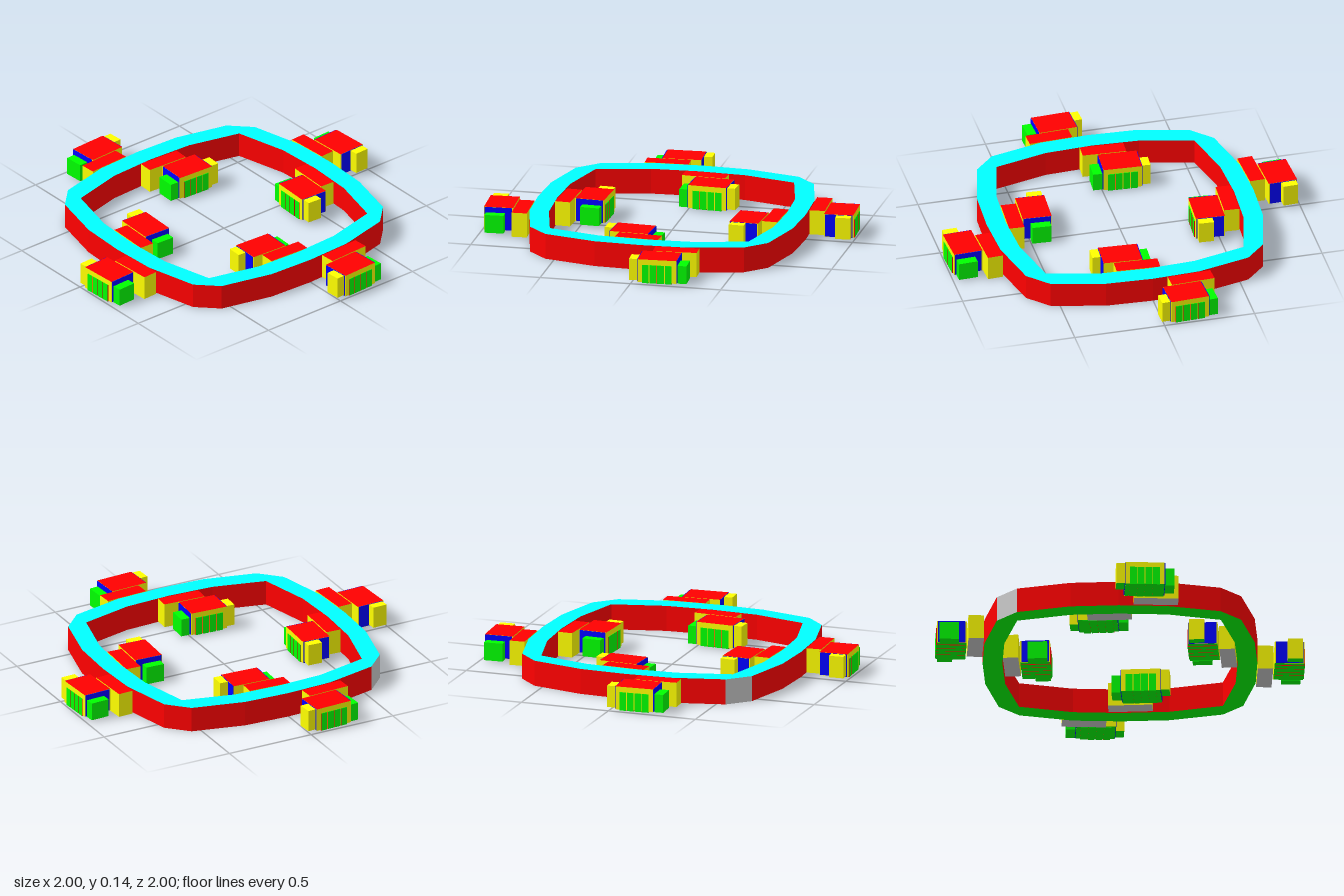
import * as THREE from 'three';

const mat = (color) => new THREE.MeshStandardMaterial({ color, flatShading: true });
const red = mat(0xff0000), green = mat(0x00ff00), cyan = mat(0x00ffff);
const yellow = mat(0xffff00), blue = mat(0x0000ff), grey = mat(0xcccccc);

const HEIGHT = 0.14;

// One quarter of a ring outline, repeated four times by quarter turns
function outline(quarter) {
  const pts = [];
  for (let k = 0; k < 4; k++) {
    for (const [px, pz] of quarter) {
      let x = px, z = pz;
      for (let i = 0; i < k; i++) [x, z] = [z, -x];
      pts.push(new THREE.Vector2(x, -z));
    }
  }
  return pts;
}

function makeRing() {
  const shape = new THREE.Shape(outline([[0, 0.742], [0.26, 0.73], [0.55, 0.66], [0.66, 0.55], [0.73, 0.26]]));
  shape.holes.push(new THREE.Path(outline([[0, 0.635], [0.26, 0.622], [0.55, 0.55], [0.622, 0.26]])));
  const geo = new THREE.ExtrudeGeometry(shape, { depth: HEIGHT, bevelEnabled: false });
  geo.rotateX(-Math.PI / 2);

  // Material per triangle: top cyan, bottom green, walls red, one corner grey
  geo.clearGroups();
  const p = geo.attributes.position;
  const tri = new THREE.Triangle(), n = new THREE.Vector3(), mid = new THREE.Vector3();
  for (let i = 0; i < p.count; i += 3) {
    tri.setFromAttributeAndIndices(p, i, i + 1, i + 2);
    tri.getNormal(n);
    tri.getMidpoint(mid);
    let m = 2;
    if (n.y > 0.5) m = 0;
    else if (n.y < -0.5) m = 1;
    else if (n.x < -0.6 && n.z > 0.6 && mid.x < -0.56) m = 3;
    geo.addGroup(i, 3, m);
  }
  const ring = new THREE.Mesh(geo, [cyan, green, red, grey]);
  ring.name = 'ring';
  return ring;
}

// A clamp unit: x runs along the ring wall, side * z points away from it
function makeUnit(side) {
  const unit = new THREE.Group();
  unit.name = side > 0 ? 'outerUnit' : 'innerUnit';
  const box = (name, [x0, x1], [y0, y1], [o0, o1], material) => {
    const mesh = new THREE.Mesh(new THREE.BoxGeometry(x1 - x0, y1 - y0, o1 - o0), material);
    mesh.position.set((x0 + x1) / 2, (y0 + y1) / 2, side * (o0 + o1) / 2);
    mesh.name = name;
    unit.add(mesh);
  };
  const faces = (sides, top, bottom) => [sides, sides, top, bottom, sides, sides];

  // Connector against the wall, then the main body
  box('connector', [-0.12, 0.12], [0.004, HEIGHT], [0.004, 0.088], faces(yellow, red, grey));
  box('body', [-0.174, 0.038], [0.012, HEIGHT], [0.094, 0.254], faces(yellow, red, green));

  // Row of green slabs with red flanks, just proud of the body
  for (let i = 0; i < 4; i++) {
    const x = -0.15 + i * 0.042;
    box('slab', [x, x + 0.037], [0.008, 0.11], [0.1, 0.258], [red, red, green, green, green, green]);
  }

  // Thin blue seams and the two end blocks
  box('seam', [-0.177, -0.174], [0.014, HEIGHT - 0.001], [0.1, 0.25], blue);
  box('seam', [0.038, 0.042], [0.014, HEIGHT - 0.001], [0.1, 0.25], blue);
  box('greenBlock', [0.042, 0.092], [0.01, 0.11], [0.137, 0.242], green);
  box('yellowBlock', [-0.223, -0.177], [0.018, HEIGHT - 0.002], [0.163, 0.245], faces(yellow, yellow, green));
  return unit;
}

export function createModel() {
  const model = new THREE.Group();
  model.name = 'ringWithUnits';
  model.add(makeRing());

  // An outer and an inner unit on each of the four sides
  const tilt = 0.05;
  for (let k = 0; k < 4; k++) {
    const quarter = new THREE.Group();
    quarter.name = 'sideUnits';
    const outer = makeUnit(1);
    outer.position.set(0.2, 0, 0.733);
    outer.rotation.y = tilt;
    const inner = makeUnit(-1);
    inner.position.set(-0.053, 0, 0.631);
    inner.rotation.y = -tilt;
    quarter.add(outer, inner);
    quarter.rotation.y = -k * Math.PI / 2;
    model.add(quarter);
  }
  return model;
}
